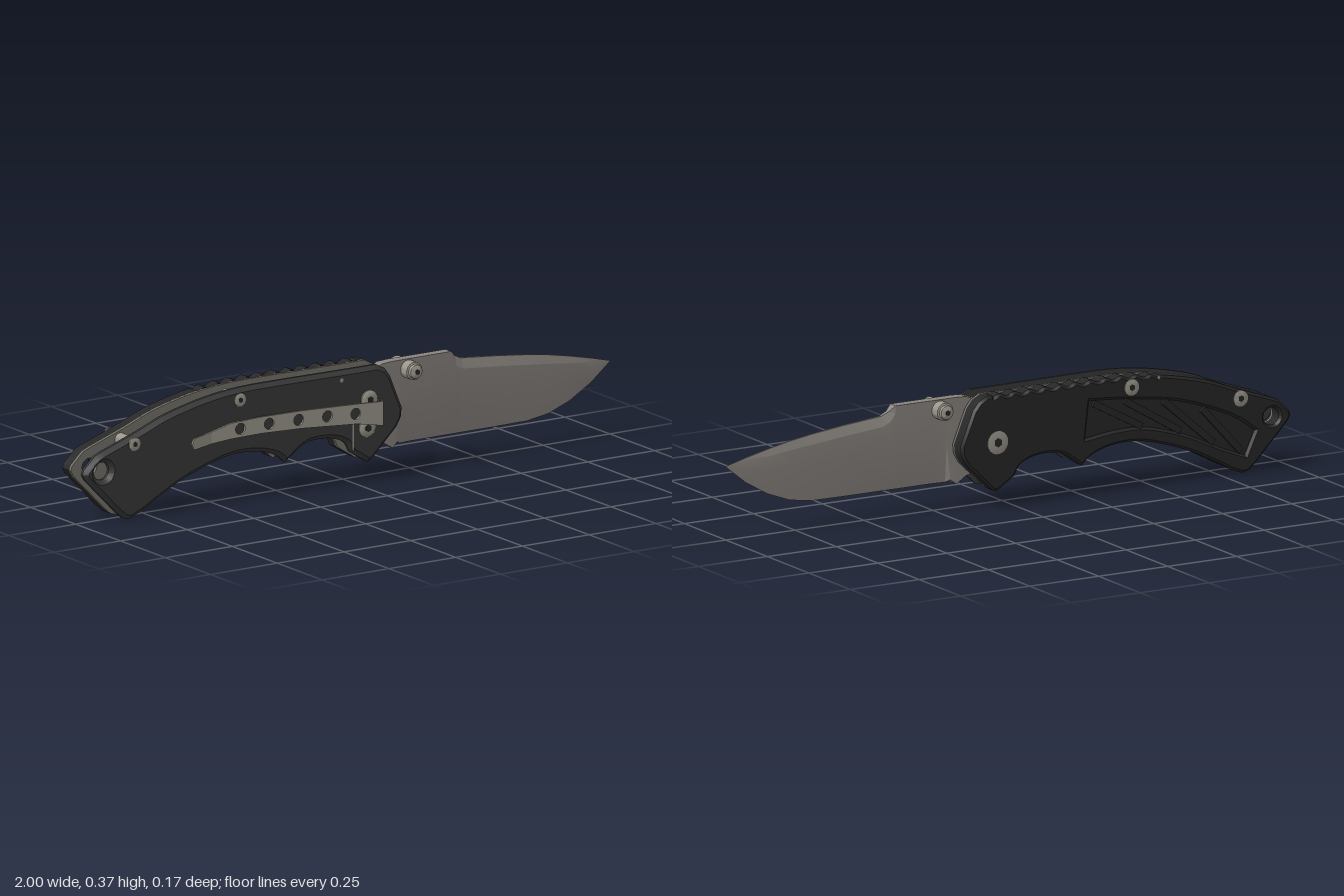
import * as THREE from 'three';
import { toCreasedNormals } from 'three/addons/utils/BufferGeometryUtils.js';

const mat = (name, color) => Object.assign(new THREE.MeshStandardMaterial({ color }), { name });
const V = (x, y) => new THREE.Vector2(x, y);

export function createModel() {
  const root = new THREE.Group();
  root.name = 'foldingKnife';
  const graphite = mat('graphite', 0x383838);
  const black = mat('black', 0x272727);
  const bladeSteel = mat('bladeSteel', 0x8a8580);
  const steel = mat('steel', 0x9a968b);
  const linerGrey = mat('linerGrey', 0x76736b);

  const add = (name, geo, material, parent = root) => {
    const m = new THREE.Mesh(geo, material);
    m.name = name;
    parent.add(m);
    return m;
  };

  // Handle outline: curved back (optionally with thumb ridges), angled nose, finger grooves
  const spine = [[0.1, 0.366], [0, 0.366], [-0.13, 0.367], [-0.28, 0.368], [-0.42, 0.366], [-0.55, 0.351],
    [-0.69, 0.319], [-0.8, 0.278], [-0.93, 0.233]].map(p => V(...p));
  const groove = [[0, 0.1], [-0.02, 0.133], [-0.07, 0.153], [-0.13, 0.157], [-0.18, 0.145], [-0.24, 0.103]].map(p => V(...p));
  const belly = [[-0.245, 0.103], [-0.285, 0.133], [-0.365, 0.154], [-0.47, 0.15], [-0.61, 0.108],
    [-0.7, 0.066], [-0.79, 0.018]].map(p => V(...p));
  const handleShape = (ridged, holed = true) => {
    const pts = [];
    for (const p of new THREE.SplineCurve(spine).getPoints(ridged ? 150 : 40)) {
      if (ridged && p.x < 0.08 && p.x > -0.52) p.y += 0.005 * Math.cos(p.x * 2 * Math.PI / 0.055) - 0.002;
      pts.push(p);
    }
    pts.push(V(-0.955, 0.222), V(-0.995, 0.183), V(-1, 0.168), V(-0.99, 0.15), V(-0.875, 0.032), V(-0.85, 0.01), V(-0.825, 0.004));
    pts.push(...new THREE.SplineCurve(belly).getPoints(30).reverse());
    pts.push(...new THREE.SplineCurve(groove).getPoints(20).reverse());
    pts.push(V(0.065, 0.058), V(0.08, 0.063), V(0.175, 0.155), V(0.192, 0.185), V(0.195, 0.215), V(0.15, 0.325), V(0.13, 0.35));
    const s = new THREE.Shape(pts);
    if (holed) s.holes.push(new THREE.Path().absarc(-0.93, 0.172, 0.028, 0, Math.PI * 2));
    return s;
  };

  // Plate between z0 and z1, bevelled on one face only (dir 1 = front, -1 = back)
  const plate = (shape, z0, z1, bevel = 0, dir = 1) => {
    const depth = z1 - z0 - bevel;
    const g = new THREE.ExtrudeGeometry(shape, {
      depth, curveSegments: 20, bevelEnabled: bevel > 0, bevelThickness: bevel,
      bevelSize: bevel, bevelOffset: -bevel, bevelSegments: 1,
    });
    const p = g.attributes.position;
    for (let i = 0; i < p.count; i++) {
      const z = p.getZ(i);
      p.setZ(i, dir > 0 ? z0 + Math.max(z, 0) : z0 + bevel + Math.min(z, depth));
    }
    return toCreasedNormals(g, 0.5);
  };

  // Front and back scales with the liner
  add('frontScale', plate(handleShape(false), 0.028, 0.052, 0.014), graphite);
  add('backLiner', plate(handleShape(false), -0.036, -0.027), linerGrey);
  add('backScaleBase', plate(handleShape(true), -0.072, -0.036), black);
  const panelTop = [[-0.27, 0.305], [-0.42, 0.292], [-0.6, 0.262], [-0.78, 0.195], [-0.87, 0.135]].map(p => V(...p));
  const panelLow = [[-0.835, 0.06], [-0.74, 0.098], [-0.61, 0.157], [-0.47, 0.196], [-0.36, 0.198], [-0.255, 0.185]].map(p => V(...p));
  const topLayer = handleShape(true);
  topLayer.holes.push(new THREE.Path([
    ...new THREE.SplineCurve(panelTop).getPoints(16), ...new THREE.SplineCurve(panelLow).getPoints(16)]));
  add('backScaleFace', plate(topLayer, -0.083, -0.072, 0.008, -1), black);

  // Raised grip ribs in the recessed panel
  [[-0.285, 0.295, -0.46, 0.2], [-0.4, 0.288, -0.6, 0.168], [-0.54, 0.27, -0.72, 0.115], [-0.68, 0.228, -0.82, 0.075]]
    .forEach(([x1, y1, x2, y2]) => {
      const rib = add('gripRib', new THREE.BoxGeometry(Math.hypot(x2 - x1, y2 - y1), 0.022, 0.01), black);
      rib.position.set((x1 + x2) / 2, (y1 + y2) / 2, -0.076);
      rib.rotation.z = Math.atan2(y2 - y1, x2 - x1);
    });

  // Lock bar sprung inward from the front scale, and its release slot
  const bar = new THREE.BoxGeometry(0.42, 0.055, 0.012);
  const bp = bar.attributes.position;
  for (let i = 0; i < bp.count; i++) if (bp.getX(i) > 0) bp.setZ(i, bp.getZ(i) - 0.012);
  bar.computeVertexNormals();
  add('lockBar', bar, graphite).position.set(-0.22, 0.185, 0.028);
  add('lockSlot', new THREE.BoxGeometry(0.006, 0.1, 0.003), steel).position.set(0.004, 0.155, 0.0515);

  // Blade: cross-sections [x, spine, upper grind, lower grind, edge, half thickness, spine half, edge half]
  const stations = [
    [-0.03, 0.3, 0.29, 0.16, 0.15, 0.017, 0.017, 0.017],
    [0.06, 0.33, 0.32, 0.13, 0.12, 0.017, 0.017, 0.017],
    [0.14, 0.358, 0.345, 0.12, 0.105, 0.017, 0.017, 0.017],
    [0.175, 0.36, 0.345, 0.12, 0.082, 0.017, 0.017, 0.017],
    [0.195, 0.36, 0.345, 0.18, 0.098, 0.017, 0.017, 0.015],
    [0.21, 0.36, 0.345, 0.212, 0.09, 0.017, 0.017, 0.006],
    [0.25, 0.36, 0.345, 0.217, 0.09, 0.017, 0.017, 0.001],
    [0.395, 0.36, 0.335, 0.217, 0.09, 0.017, 0.016, 0.001],
    [0.415, 0.342, 0.31, 0.217, 0.09, 0.016, 0.008, 0.001],
    [0.44, 0.33, 0.298, 0.217, 0.09, 0.015, 0.005, 0.001],
    [0.58, 0.317, 0.285, 0.217, 0.09, 0.013, 0.004, 0.001],
    [0.69, 0.304, 0.273, 0.217, 0.091, 0.011, 0.003, 0.001],
    [0.77, 0.292, 0.264, 0.212, 0.103, 0.009, 0.003, 0.001],
    [0.85, 0.276, 0.254, 0.21, 0.133, 0.007, 0.002, 0.001],
    [0.93, 0.258, 0.247, 0.22, 0.18, 0.004, 0.002, 0.001],
    [1, 0.24, 0.239, 0.238, 0.237, 0.001, 0.001, 0.001],
  ];
  const rings = stations.map(([x, t, a, b, e, w, wt, we]) => [
    [x, t, wt], [x, a, w], [x, b, w], [x, e, we], [x, e, -we], [x, b, -w], [x, a, -w], [x, t, -wt]]);
  const tri = [];
  for (let i = 0; i < rings.length - 1; i++) {
    for (let j = 0; j < 8; j++) {
      const k = (j + 1) % 8, r = rings[i], s = rings[i + 1];
      tri.push(...r[j], ...r[k], ...s[k], ...r[j], ...s[k], ...s[j]);
    }
  }
  for (let k = 1; k < 7; k++) tri.push(...rings[0][0], ...rings[0][k + 1], ...rings[0][k]);
  const blade = new THREE.BufferGeometry();
  blade.setAttribute('position', new THREE.Float32BufferAttribute(tri, 3));
  add('blade', toCreasedNormals(blade, 0.2), bladeSteel);

  // Round parts along z
  const lathe = (name, profile, x, y, z, dir = 1, material = steel) => {
    const g = toCreasedNormals(new THREE.LatheGeometry(profile.map(p => V(...p)), 28), 0.6);
    const m = add(name, g, material);
    m.rotation.x = dir * Math.PI / 2;
    m.position.set(x, y, z);
    return m;
  };
  const rod = (name, r, x, y, z0, z1) =>
    lathe(name, [[0, 0], [r, 0], [r, z1 - z0], [0, z1 - z0]], x, y, z0);
  const screw = (name, r, h, x, y, z, dir) => {
    lathe(name, [[0, -0.004], [r, -0.004], [r, h * 0.45], [r * 0.8, h * 0.8], [r * 0.45, h], [0, h]], x, y, z, dir);
    const socket = add(name + 'Socket', new THREE.CylinderGeometry(r * 0.4, r * 0.4, 0.002, 6), black);
    socket.rotation.x = Math.PI / 2;
    socket.position.set(x, y, z + dir * h);
  };

  // Body screws and spacers, stop pin, pivot
  for (const [x, y] of [[-0.815, 0.245], [-0.42, 0.33]]) {
    rod('spacer', 0.02, x, y, -0.03, 0.03);
    screw('frontScrew', 0.021, 0.006, x, y, 0.052, 1);
    screw('backScrew', 0.026, 0.005, x, y, -0.083, -1);
  }
  rod('stopPin', 0.02, -0.04, 0.325, -0.03, 0.03);
  rod('stopPinEnd', 0.007, -0.04, 0.338, 0.05, 0.0535);
  rod('pivotWashers', 0.045, 0.065, 0.215, -0.03, 0.03);
  screw('pivotScrew', 0.037, 0.004, 0.065, 0.215, -0.083, -1);
  screw('clipScrewUpper', 0.03, 0.01, 0.063, 0.262, 0.052, 1);
  screw('clipScrewLower', 0.03, 0.01, 0.055, 0.172, 0.052, 1);

  // Thumb stud through the blade, stepped at both ends
  const studHalf = [[0.029, 0], [0.029, 0.05], [0.023, 0.052], [0.023, 0.056], [0.022, 0.062], [0.014, 0.067], [0, 0.068]];
  for (const dir of [1, -1]) {
    lathe('thumbStud', studHalf, 0.235, 0.327, 0, dir);
    const dot = add('thumbStudSocket', new THREE.CylinderGeometry(0.009, 0.009, 0.003, 6), black);
    dot.rotation.x = Math.PI / 2;
    dot.position.set(0.235, 0.327, dir * 0.0675);
  }

  // Pocket clip: flat pieces sheared to follow a bent profile
  const clip = new THREE.Group();
  clip.name = 'pocketClip';
  root.add(clip);
  const clipPiece = (name, shape, xa, za, xb, zb) => {
    const g = new THREE.ExtrudeGeometry(shape, { depth: 0.007, bevelEnabled: false, curveSegments: 12 });
    const p = g.attributes.position;
    for (let i = 0; i < p.count; i++) p.setZ(i, p.getZ(i) + za + (zb - za) * (p.getX(i) - xa) / (xb - xa));
    add(name, toCreasedNormals(g, 0.4), steel, clip);
  };
  const poly = list => new THREE.Shape(list.map(p => V(...p)));
  const main = poly([[-0.53, 0.206], [-0.46, 0.212], [-0.35, 0.215], [-0.2, 0.211], [0, 0.198], [0.095, 0.18],
    [0.095, 0.258], [0, 0.262], [-0.2, 0.268], [-0.35, 0.268], [-0.46, 0.262], [-0.53, 0.244]]);
  [[-0.425, 0.24], [-0.32, 0.242], [-0.213, 0.24], [-0.108, 0.237], [-0.005, 0.231]].forEach(([x, y]) =>
    main.holes.push(new THREE.Path().absarc(x, y, 0.018, 0, Math.PI * 2)));
  clipPiece('clipSpring', main, -0.53, 0.052, 0.095, 0.078);
  clipPiece('clipTip', poly([[-0.605, 0.2], [-0.53, 0.206], [-0.53, 0.244], [-0.605, 0.236], [-0.614, 0.218]]), -0.61, 0.068, -0.53, 0.052);
  clipPiece('clipHook', poly([[0.095, 0.18], [0.108, 0.178], [0.108, 0.257], [0.095, 0.258]]), 0.095, 0.078, 0.108, 0.052);

  return root;
}
